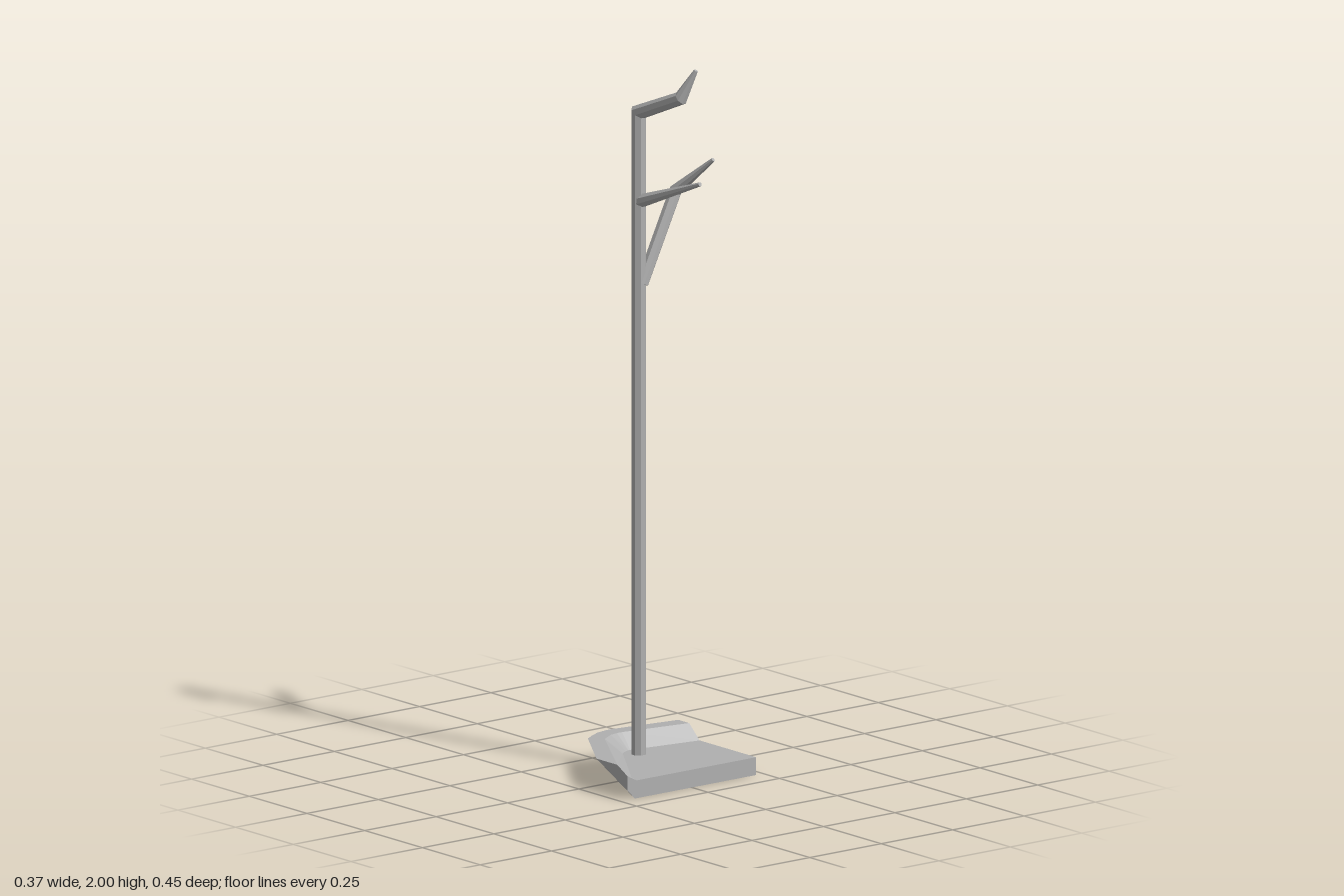
import * as THREE from 'three';

const metal = new THREE.MeshStandardMaterial({ color: 0xb0b0b0 });
metal.name = 'grey metal';

// Flat-faced mesh from a list of convex polygons
function facetMesh(name, polygons) {
  const positions = [];
  for (const p of polygons)
    for (let i = 1; i < p.length - 1; i++)
      for (const v of [p[0], p[i], p[i + 1]]) positions.push(v.x, v.y, v.z);
  const geometry = new THREE.BufferGeometry();
  geometry.setAttribute('position', new THREE.Float32BufferAttribute(positions, 3));
  geometry.computeVertexNormals();
  const mesh = new THREE.Mesh(geometry, metal);
  mesh.name = name;
  return mesh;
}

const vec = (x, y, z) => new THREE.Vector3(x, y, z);

// Faceted rod through points [x, y, z, radius] with mitred bends
function rod(name, nodes, sides = 8) {
  const points = nodes.map(n => vec(n[0], n[1], n[2]));
  const dirs = points.slice(1).map((p, i) => p.clone().sub(points[i]).normalize());
  const u = vec(0, 0, 1).cross(dirs[0]).normalize();
  const v = dirs[0].clone().cross(u);
  let offsets = Array.from({ length: sides }, (_, k) => {
    const a = (k + 0.5) / sides * Math.PI * 2;
    return u.clone().multiplyScalar(Math.cos(a)).addScaledVector(v, Math.sin(a));
  });
  const rings = points.map((p, i) => {
    const d = dirs[Math.max(i - 1, 0)];
    const next = dirs[Math.min(i, dirs.length - 1)];
    const n = d.clone().add(next).normalize();
    const ring = offsets.map(o => {
      const q = o.clone().multiplyScalar(nodes[i][3]);
      return q.addScaledVector(d, -q.dot(n) / d.dot(n));
    });
    offsets = ring.map(q => q.clone().addScaledVector(next, -q.dot(next)).normalize());
    return ring.map(q => q.add(p));
  });
  const faces = [[...rings[0]].reverse(), rings[rings.length - 1]];
  for (let i = 0; i < rings.length - 1; i++)
    for (let k = 0; k < sides; k++) {
      const m = (k + 1) % sides;
      faces.push([rings[i][k], rings[i][m], rings[i + 1][m], rings[i + 1][k]]);
    }
  return facetMesh(name, faces);
}

// Cut-off slab with a flared rim around two sides
function createBase() {
  const level = (y, list) => list.map(([x, z]) => vec(x, y, z));
  const top = 0.09, floorY = 0.05;
  const outer = level(top, [[-0.157, -0.225], [-0.19, -0.018], [-0.19, 0], [-0.183, 0.037],
    [-0.165, 0.072], [-0.147, 0.1], [0.045, 0.225]]);
  const inner = level(top, [[-0.11, -0.225], [-0.145, -0.018], [-0.145, 0], [-0.14, 0.025],
    [-0.127, 0.047], [-0.113, 0.068], [0.135, 0.225]]);
  const floor = level(floorY, [[-0.065, -0.225], [-0.1, -0.01], [-0.1, -0.004], [-0.095, 0.01],
    [-0.088, 0.022], [-0.08, 0.032], [0.14, 0.18], [0.18, 0.193]]);
  const foot = level(0, [[-0.067, -0.225], [-0.1, 0.012], [-0.1, 0.012], [-0.1, 0.012],
    [-0.1, 0.012], [-0.1, 0.012], [0.18, 0.2]]);
  const backTop = vec(0.18, floorY, -0.225), backFoot = vec(0.18, 0, -0.225);
  const cutLow = vec(0.18, 0.026, 0.225), cutHigh = vec(0.18, 0.066, 0.225);

  const faces = [];
  for (let i = 0; i < 6; i++) {
    const j = i + 1;
    faces.push([outer[i], foot[i], foot[j], outer[j]]);   // flared outside
    faces.push([inner[i], outer[i], outer[j], inner[j]]); // rim top
    faces.push([floor[i], inner[i], inner[j], floor[j]]); // inner slope
    faces.push([backFoot, foot[j], foot[i]]);             // underside
  }
  for (let i = 0; i < 7; i++) faces.push([backTop, floor[i], floor[i + 1]]);
  // Trimmed ends
  faces.push([outer[6], foot[6], cutLow]);
  faces.push([floor[6], inner[6], cutHigh, floor[7]]);
  faces.push([outer[6], cutLow, cutHigh, inner[6]]);
  faces.push([floor[7], cutHigh, cutLow, foot[6], backFoot, backTop]);
  faces.push([floor[0], backTop, backFoot, foot[0], outer[0], inner[0]]);
  return facetMesh('base', faces);
}

export function createModel() {
  const group = new THREE.Group();
  group.name = 'coatStand';
  group.add(createBase());

  // Pole bending into the top hook
  group.add(rod('poleAndTopHook', [
    [-0.05, 0.04, 0, 0.021], [-0.05, 1.85, 0, 0.021],
    [0.112, 1.918, -0.017, 0.019], [0.147, 1.998, -0.041, 0.006]]));

  // Straight tapered peg
  group.add(rod('sidePeg', [[-0.05, 1.6, 0, 0.02], [0.182, 1.688, -0.027, 0.006]]));

  // Bent branch at the back
  group.add(rod('backBranch', [
    [-0.042, 1.37, -0.005, 0.018], [-0.042, 1.613, -0.122, 0.018],
    [0.072, 1.715, -0.162, 0.006]]));
  return group;
}
